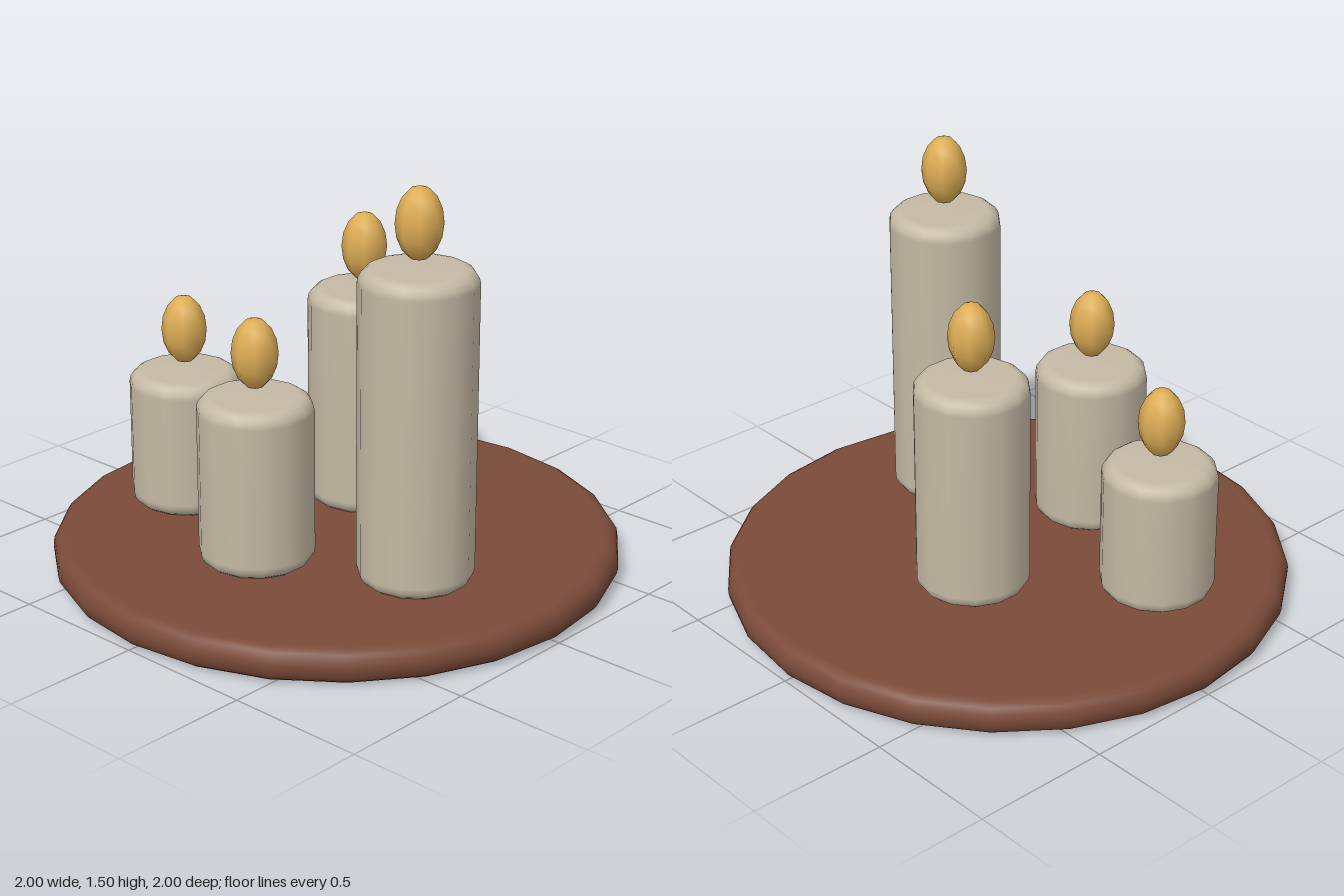
import * as THREE from 'three';

const wood = new THREE.MeshStandardMaterial({ color: 0x7a4a38 });
wood.name = 'brown wood';
const wax = new THREE.MeshStandardMaterial({ color: 0xc4b9a4 });
wax.name = 'cream wax';
const fire = new THREE.MeshStandardMaterial({ color: 0xddad55 });
fire.name = 'golden flame';

// Solid disc or cylinder with rounded rims, standing on y = 0
function roundedCylinder(radius, height, bevel, sides) {
  const points = [new THREE.Vector2(0, 0)];
  const steps = 4;
  for (const [centreY, start] of [[bevel, -Math.PI / 2], [height - bevel, 0]]) {
    for (let i = 0; i <= steps; i++) {
      const a = start + (i / steps) * Math.PI / 2;
      points.push(new THREE.Vector2(
        radius - bevel + Math.cos(a) * bevel,
        centreY + Math.sin(a) * bevel));
    }
  }
  points.push(new THREE.Vector2(0, height));
  return new THREE.LatheGeometry(points, sides);
}

function addMesh(parent, name, geometry, material, y = 0) {
  const mesh = new THREE.Mesh(geometry, material);
  mesh.name = name;
  mesh.position.y = y;
  parent.add(mesh);
}

export function createModel() {
  const model = new THREE.Group();
  model.name = 'candleTray';

  // Round tray
  const trayHeight = 0.125;
  addMesh(model, 'tray', roundedCylinder(1, trayHeight, 0.055, 24), wood);

  // Candles: name, x, z, height
  const candles = [
    ['shortCandle', -0.55, 0.2, 0.5],
    ['frontCandle', 0, 0.4, 0.6],
    ['backCandle', -0.1, -0.25, 0.8],
    ['tallCandle', 0.5, 0.15, 1.1],
  ];
  const flameGeometry = new THREE.SphereGeometry(1, 8, 8).scale(0.08, 0.125, 0.08);
  for (const [name, x, z, height] of candles) {
    const candle = new THREE.Group();
    candle.name = name;
    candle.position.set(x, trayHeight, z);
    addMesh(candle, 'wax', roundedCylinder(0.2, height, 0.05, 14), wax);
    // Flame floats just above the wax
    addMesh(candle, 'flame', flameGeometry, fire, height + 0.15);
    model.add(candle);
  }
  return model;
}
